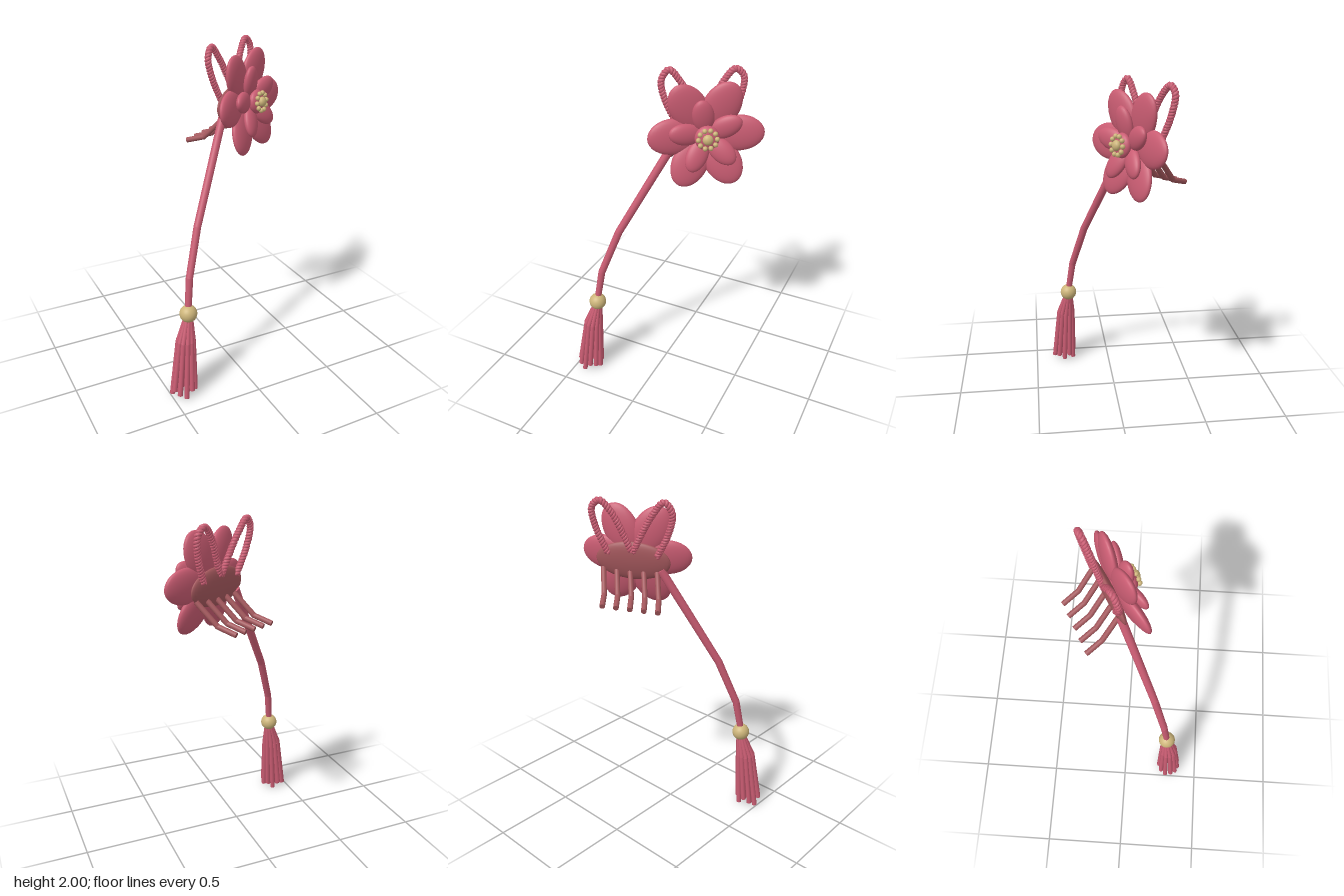
import * as THREE from 'three';

const rose = new THREE.MeshStandardMaterial({ color: 0xc95c72 });
rose.name = 'rose';
const comb = new THREE.MeshStandardMaterial({ color: 0xa3575c });
comb.name = 'dusky rose';
const gold = new THREE.MeshStandardMaterial({ color: 0xcdb57a });
gold.name = 'gold';

const V = (x, y, z) => new THREE.Vector3(x, y, z);

function add(parent, name, geometry, material) {
  const mesh = new THREE.Mesh(geometry, material);
  mesh.name = name;
  parent.add(mesh);
  return mesh;
}

function ellipsoid(parent, name, material, rx, ry, rz, segs = 32) {
  const mesh = add(parent, name, new THREE.SphereGeometry(1, segs, segs / 2), material);
  mesh.scale.set(rx, ry, rz);
  return mesh;
}

// Straight rods joined end to end, with a ball at each bend
function jointedRod(parent, name, points, radii, material, sides = 12) {
  const rod = new THREE.Group();
  rod.name = name;
  parent.add(rod);
  for (let i = 0; i < points.length - 1; i++) {
    const a = points[i], b = points[i + 1];
    const dir = b.clone().sub(a);
    const part = add(rod, name + 'Section',
      new THREE.CylinderGeometry(radii[i + 1], radii[i], dir.length(), sides), material);
    part.position.copy(a).lerp(b, 0.5);
    part.quaternion.setFromUnitVectors(V(0, 1, 0), dir.normalize());
    if (i > 0) ellipsoid(rod, name + 'Joint', material, radii[i], radii[i], radii[i], sides).position.copy(a);
  }
  return rod;
}

// Ring of cupped petals around the local z axis
function petalRing(parent, name, count, start, reach, height, size, tilt) {
  for (let i = 0; i < count; i++) {
    const arm = new THREE.Group();
    arm.rotation.z = start + (i / count) * Math.PI * 2;
    const petal = ellipsoid(arm, name, rose, ...size);
    petal.position.set(reach, 0, height);
    petal.rotation.y = -tilt;
    parent.add(arm);
  }
}

// Two strands wound around a curve
function twistedCord(parent, name, curve, turns) {
  const steps = 180;
  const { normals, binormals } = curve.computeFrenetFrames(steps, false);
  for (let s = 0; s < 2; s++) {
    const pts = [];
    for (let i = 0; i <= steps; i++) {
      const a = (i / steps) * turns * Math.PI * 2 + s * Math.PI;
      pts.push(curve.getPointAt(i / steps)
        .addScaledVector(normals[i], 0.009 * Math.cos(a))
        .addScaledVector(binormals[i], 0.009 * Math.sin(a)));
    }
    add(parent, name, new THREE.TubeGeometry(new THREE.CatmullRomCurve3(pts), 260, 0.0115, 8), rose);
  }
}

export function createModel() {
  const model = new THREE.Group();
  model.name = 'flowerHairComb';

  // Flower head, turned to the side and tipped slightly up
  const flower = new THREE.Group();
  flower.name = 'flower';
  flower.position.set(0.195, 1.642, -0.093);
  flower.rotation.set(-0.13, 0.52, 0.1);
  model.add(flower);
  petalRing(flower, 'outerPetal', 6, 0, 0.182, 0.025, [0.15, 0.105, 0.036], 0.16);
  petalRing(flower, 'innerPetal', 5, 0.45, 0.118, 0.07, [0.1, 0.062, 0.032], 0.25);

  // Flower centre with a ring of beads
  ellipsoid(flower, 'centreDome', rose, 0.07, 0.07, 0.035).position.z = 0.09;
  ellipsoid(flower, 'centreBead', gold, 0.03, 0.03, 0.022, 16).position.z = 0.128;
  for (let i = 0; i < 10; i++) {
    const a = (i / 10) * Math.PI * 2;
    ellipsoid(flower, 'stamenBead', gold, 0.0145, 0.0145, 0.0145, 12)
      .position.set(0.052 * Math.cos(a), 0.052 * Math.sin(a), 0.124);
  }

  // Oval backing plate
  ellipsoid(flower, 'backPlate', comb, 0.222, 0.115, 0.032).position.set(0, -0.01, -0.045);

  // Twisted cord loops behind the top petals
  for (const side of [-1, 1]) {
    const top = side < 0 ? 0.355 : 0.34;
    const curve = new THREE.CatmullRomCurve3([
      [0.005, 0.05], [0.055, 0.16], [0.12, 0.28], [0.185, top],
      [0.23, 0.3], [0.215, 0.19], [0.145, 0.03],
    ].map(([x, y]) => V(side * x, y, -0.062)));
    twistedCord(flower, 'cordLoop', curve, 20);
  }

  // Bent comb teeth
  for (let i = 0; i < 5; i++) {
    const tip = V(-0.118 + 0.0715 * i, 1.405 + 0.003 * i, -0.235 - 0.039 * i);
    const bend = tip.clone().add(V(0.073, 0.033, 0.085));
    const root = bend.clone().add(V(0.09, 0.125, 0.085));
    jointedRod(model, 'combTooth', [root, bend, tip], [0.016, 0.016, 0.016], comb);
  }

  // Hanging stem
  jointedRod(model, 'stem', [
    V(0.03, 1.58, -0.05), V(-0.11, 1.29, 0.06), V(-0.245, 1.01, 0.165),
    V(-0.335, 0.735, 0.24), V(-0.36, 0.54, 0.268),
  ], [0.025, 0.024, 0.023, 0.022, 0.02], rose);

  // Bead above the tassel
  ellipsoid(model, 'tasselBead', gold, 0.053, 0.053, 0.053).position.set(-0.36, 0.52, 0.27);

  // Tassel strands in an outer and an inner ring
  const tassel = new THREE.Group();
  tassel.name = 'tassel';
  model.add(tassel);
  for (const [count, spread] of [[11, 1], [5, 0.48]]) {
    for (let i = 0; i < count; i++) {
      const a = (i / count) * Math.PI * 2;
      const c = Math.cos(a) * spread, s = Math.sin(a) * spread;
      const end = 0.005 + 0.02 * (i % 3) + (c > 0.5 ? 0.01 : 0);
      jointedRod(tassel, 'tasselStrand', [
        V(-0.363 + 0.018 * c, 0.49, 0.272 + 0.018 * s),
        V(-0.39 + 0.046 * c, 0.355, 0.29 + 0.046 * s),
        V(-0.418 + 0.07 * c, end, 0.308 + 0.066 * s),
      ], [0.012, 0.015, 0.016], rose, 8);
    }
  }
  return model;
}
